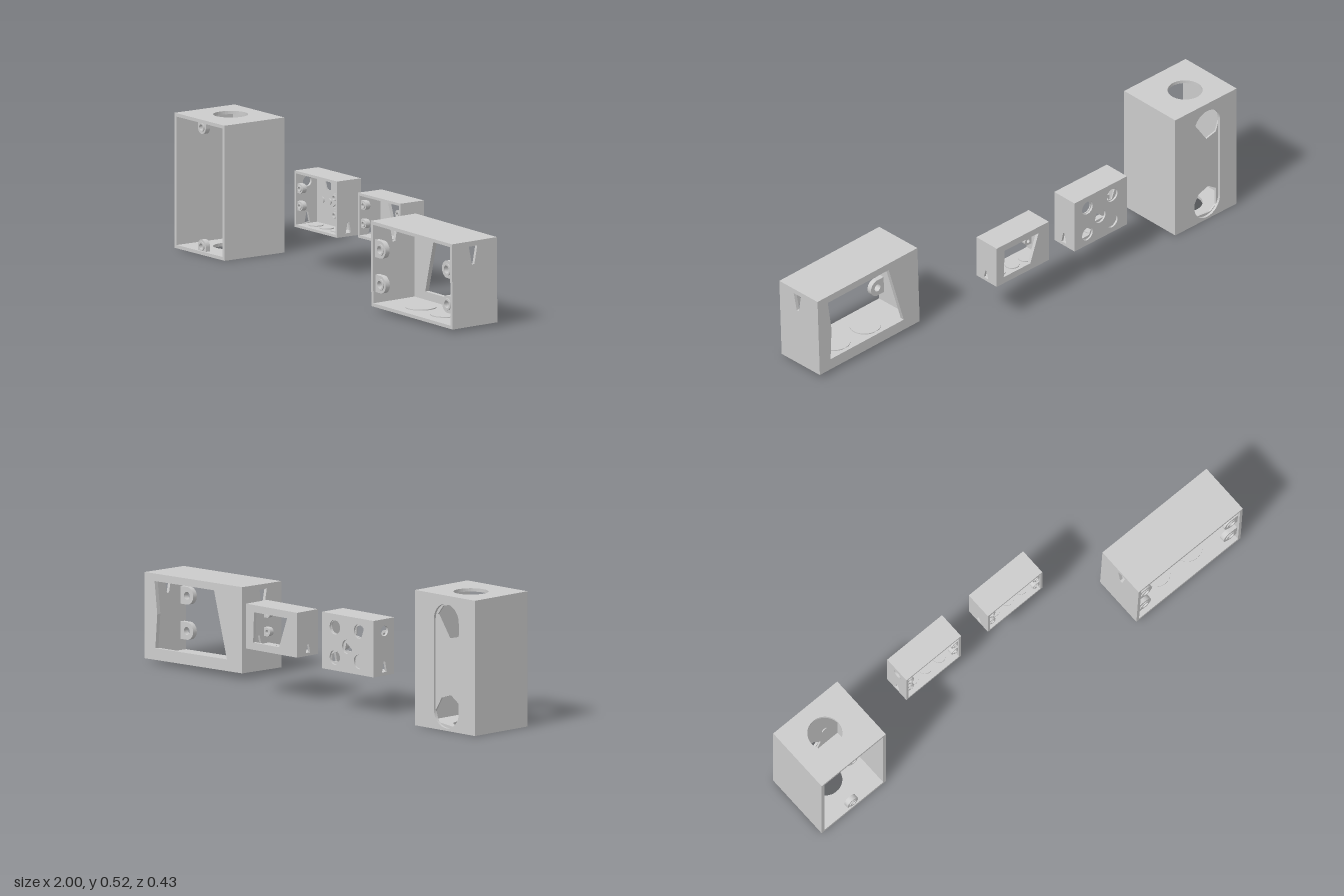
import * as THREE from 'three';

const material = new THREE.MeshStandardMaterial({ color: 0xcccccc, flatShading: true });

// Closed outline from points, as a hole
const poly = (pts) => new THREE.Path(pts.map(([x, y]) => new THREE.Vector2(x, y)));
const circle = (x, y, r) => new THREE.Path().absarc(x, y, r, 0, Math.PI * 2, true);
const wedge = (z, y0, y1, w0, w1) => poly([[z - w0, y0], [z + w0, y0], [z + w1, y1], [z - w1, y1]]);

// Flat plate spanning a rectangle, with holes, from depth a to a + t
function plate(x0, x1, y0, y1, a, t, holes = []) {
  const s = new THREE.Shape([[x0, y0], [x1, y0], [x1, y1], [x0, y1]].map((p) => new THREE.Vector2(...p)));
  s.holes.push(...holes);
  const g = new THREE.ExtrudeGeometry(s, { depth: t, bevelEnabled: false, curveSegments: 20 });
  return g.translate(0, 0, a);
}

function add(group, name, geometry) {
  const m = new THREE.Mesh(geometry, material);
  m.name = name;
  group.add(m);
  return m;
}

// Screw ear: washer with a raised collar, joined to the wall in direction (dx, dy)
function ear(group, x, y, z, r, dx, dy, reach) {
  const a = Math.atan2(dy, dx);
  const s = new THREE.Shape();
  s.absarc(0, 0, r, Math.PI / 2, Math.PI * 1.5, false);
  s.lineTo(reach, -r);
  s.lineTo(reach, r);
  s.holes.push(circle(0, 0, r * 0.45));
  const tab = new THREE.ExtrudeGeometry(s, { depth: 0.02, bevelEnabled: false, curveSegments: 12 });
  add(group, 'screwEar', tab.rotateZ(a).translate(x, y, z - 0.02));
  const ring = new THREE.Shape().absarc(0, 0, r * 0.68, 0, Math.PI * 2, false);
  ring.holes.push(circle(0, 0, r * 0.45));
  const collar = new THREE.ExtrudeGeometry(ring, { depth: 0.004, bevelEnabled: false, curveSegments: 12 });
  add(group, 'screwCollar', collar.translate(x, y, z));
}

// Open-fronted box made of five plates
function openBox(name, { x: [x0, x1], y: [y0, y1], z: [z0, z1], t, back, backOuter, side = [], right = side, cap = [] }) {
  const g = new THREE.Group();
  g.name = name;
  const bt = t * 1.3;
  if (backOuter) {
    add(g, 'backOuter', plate(x0, x1, y0, y1, z0, bt * 0.6, backOuter));
    add(g, 'backInner', plate(x0 + t, x1 - t, y0 + t, y1 - t, z0 + bt * 0.6, bt * 0.4, back));
  } else add(g, 'back', plate(x0, x1, y0, y1, z0, bt, back));
  const zs = z0 + (backOuter ? bt * 0.6 : bt);
  for (const [n, y] of [['bottom', y0], ['top', y1 - t]])
    add(g, n, plate(x0, x1, -z1, -zs, y, t, cap).rotateX(-Math.PI / 2));
  for (const [n, x, holes] of [['leftSide', x1, side], ['rightSide', x0 + t, right]])
    add(g, n, plate(zs, z1, y0 + t, y1 - t, -x, t, holes).rotateY(-Math.PI / 2));
  return g;
}

// Raised discs on the inner floor and ceiling
function knockouts(group, xs, z, floor, ceiling, r) {
  for (const x of xs) for (const y of [floor, ceiling])
    add(group, 'knockout', new THREE.CylinderGeometry(r, r, 0.008, 24).translate(x, y, z));
}

export function createModel() {
  const root = new THREE.Group();
  root.name = 'junctionBoxes';

  // Tall box: round openings top and bottom, slotted recess in the back
  const slot = new THREE.Path();
  slot.absarc(-0.845, 0.43, 0.067, 0, Math.PI, false);
  slot.absarc(-0.845, 0.082, 0.067, Math.PI, Math.PI * 2, false);
  const tall = openBox('tallBox', {
    x: [-1, -0.677], y: [0.005, 0.53], z: [-0.215, 0.068], t: 0.013,
    backOuter: [slot], cap: [circle(-0.85, 0.087, 0.067)],
    back: [
      poly([[-0.91, 0.475], [-0.87, 0.496], [-0.82, 0.487], [-0.79, 0.45], [-0.85, 0.363], [-0.9, 0.375], [-0.915, 0.417]]),
      poly([[-0.9, 0.117], [-0.86, 0.144], [-0.81, 0.128], [-0.775, 0.07], [-0.79, 0.032], [-0.87, 0.023], [-0.9, 0.043]]),
    ],
  });
  ear(tall, -0.835, 0.498, 0.06, 0.026, 0, 1, 0.025);
  ear(tall, -0.835, 0.036, 0.06, 0.026, 0, -1, 0.025);
  for (const x of [-0.95, -0.757]) for (const y of [0.34, 0.17])
    add(tall, 'fixingStud', new THREE.CylinderGeometry(0.013, 0.013, 0.006, 16).rotateX(Math.PI / 2).translate(x, y, -0.197));
  root.add(tall);

  // Small box with five round recesses, partly broken through
  const spots = [[-0.36, 0.325], [-0.23, 0.325], [-0.297, 0.257], [-0.36, 0.207], [-0.23, 0.207]];
  const small = openBox('smallBox', {
    x: [-0.438, -0.162], y: [0.157, 0.376], z: [-0.2, -0.088], t: 0.01,
    backOuter: spots.map(([x, y]) => circle(x, y, 0.028)),
    back: [
      poly([[-0.38, 0.34], [-0.36, 0.348], [-0.34, 0.34], [-0.337, 0.305], [-0.365, 0.3]]),
      circle(-0.228, 0.324, 0.025),
      poly([[-0.325, 0.24], [-0.285, 0.272], [-0.276, 0.24]]),
      poly([[-0.255, 0.213], [-0.235, 0.23], [-0.203, 0.215], [-0.205, 0.19], [-0.245, 0.192]]),
    ],
    side: [wedge(-0.141, 0.17, 0.212, 0.013, 0.004)],
    right: [wedge(-0.141, 0.17, 0.212, 0.013, 0.004), circle(-0.141, 0.33, 0.02)],
  });
  for (const [x, d] of [[-0.412, -1], [-0.188, 1]]) for (const y of [0.308, 0.24])
    ear(small, x, y, -0.094, 0.018, d, 0, 0.018);
  for (const [x, y] of [[-0.296, 0.308], [-0.39, 0.258], [-0.344, 0.258], [-0.245, 0.258], [-0.2, 0.258], [-0.296, 0.2]])
    add(small, 'fixingStud', new THREE.CylinderGeometry(0.012, 0.012, 0.006, 16).rotateX(Math.PI / 2).translate(x, y, -0.185));
  knockouts(small, [-0.37, -0.3, -0.23], -0.14, 0.167, 0.366, 0.028);
  root.add(small);

  // Small box with a slanted window
  const framed = openBox('smallWindowBox', {
    x: [-0.027, 0.247], y: [0.18, 0.354], z: [-0.2, -0.088], t: 0.01,
    back: [poly([[0.027, 0.326], [0.205, 0.326], [0.21, 0.208], [0.07, 0.208]])],
    side: [wedge(-0.141, 0.192, 0.226, 0.012, 0.003)],
  });
  for (const [x, d] of [[0, -1], [0.222, 1]]) for (const y of [0.308, 0.236])
    ear(framed, x, y, -0.094, 0.017, d, 0, 0.018);
  knockouts(framed, [0.04, 0.11, 0.18], -0.14, 0.19, 0.344, 0.028);
  root.add(framed);

  // Large window box, tilted slightly about its centre
  const large = openBox('largeWindowBox', {
    x: [0.468, 0.993], y: [0.022, 0.355], z: [0, 0.212], t: 0.013,
    back: [poly([[0.62, 0.326], [0.94, 0.326], [0.925, 0.2], [0.935, 0.067], [0.55, 0.067]])],
    side: [wedge(0.113, 0.264, 0.335, 0.006, 0.02)],
  });
  for (const [x, d] of [[0.514, -1], [0.947, 1]]) for (const y of [0.248, 0.112])
    ear(large, x, y, 0.202, 0.034, d, 0, 0.036);
  knockouts(large, [0.65, 0.81], 0.11, 0.035, 0.342, 0.06);
  const c = new THREE.Vector3(0.73, 0.1885, 0.106);
  for (const m of large.children) m.geometry.translate(-c.x, -c.y, -c.z);
  large.position.copy(c);
  large.rotation.set(0.02, 0, -0.018);
  root.add(large);

  return root;
}
